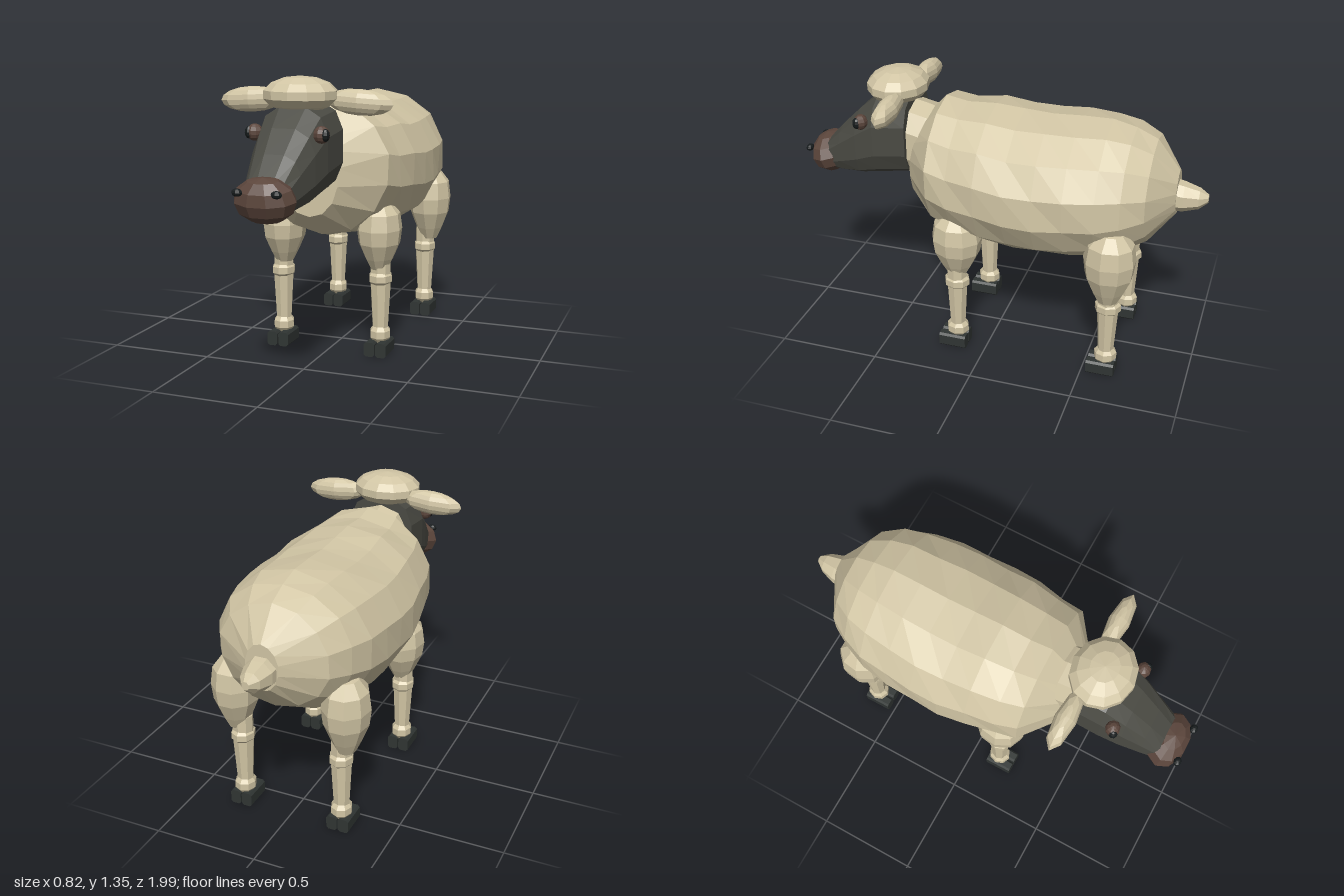
import * as THREE from 'three';

const mat = (color) => new THREE.MeshStandardMaterial({ color, flatShading: true, roughness: 1 });

// Closed loft through elliptical rings [z, bottomY, topY, halfWidth], ordered front to back
function loft(rings, sides, { power = 1, lump = 0 } = {}) {
  const squash = (v) => Math.sign(v) * Math.abs(v) ** power;
  const pos = [];
  rings.forEach(([z, y0, y1, w], i) => {
    for (let j = 0; j < sides; j++) {
      const a = ((j + 0.5) / sides) * Math.PI * 2;
      const k = 1 + lump * Math.sin(i * 2.3 + j * 1.7);
      pos.push(w * k * squash(Math.cos(a)), (y0 + y1) / 2 + ((y1 - y0) / 2) * k * squash(Math.sin(a)), z);
    }
  });
  const last = rings.length - 1;
  for (const [z, y0, y1] of [rings[0], rings[last]]) pos.push(0, (y0 + y1) / 2, z);
  const front = rings.length * sides;
  const index = [];
  for (let j = 0; j < sides; j++) {
    const n = (j + 1) % sides;
    for (let i = 0; i < last; i++) {
      const a = i * sides + j, b = i * sides + n, c = a + sides, d = b + sides;
      index.push(a, c, b, b, c, d);
    }
    index.push(front, j, n, front + 1, last * sides + n, last * sides + j);
  }
  const g = new THREE.BufferGeometry();
  g.setAttribute('position', new THREE.Float32BufferAttribute(pos, 3));
  g.setIndex(index);
  g.computeVertexNormals();
  return g;
}

export function createModel() {
  const model = new THREE.Group();
  const wool = mat(0xd2c6a5), face = mat(0x4b4b44), brown = mat(0x5c463c);
  const hoofMat = mat(0x303533), black = mat(0x171c1d);

  const add = (parent, name, geometry, material, x = 0, y = 0, z = 0) => {
    const m = new THREE.Mesh(geometry, material);
    m.name = name;
    m.position.set(x, y, z);
    parent.add(m);
    return m;
  };
  const blob = (rx, ry, rz, w = 10, h = 6) => new THREE.SphereGeometry(1, w, h).scale(rx, ry, rz);
  const lathe = (points, sides) =>
    new THREE.LatheGeometry(points.map(([r, y]) => new THREE.Vector2(r, y)), sides);

  // Woolly barrel
  add(model, 'body', loft([
    [0.42, 0.70, 1.08, 0.14],
    [0.27, 0.595, 1.235, 0.335],
    [0.16, 0.57, 1.22, 0.36],
    [0.02, 0.545, 1.23, 0.385],
    [-0.12, 0.53, 1.215, 0.40],
    [-0.26, 0.53, 1.215, 0.40],
    [-0.40, 0.54, 1.22, 0.39],
    [-0.54, 0.56, 1.22, 0.37],
    [-0.65, 0.60, 1.20, 0.33],
    [-0.75, 0.66, 1.15, 0.265],
    [-0.86, 0.79, 1.01, 0.08],
  ], 14, { lump: 0.012 }), wool);

  // Neck and tail
  add(model, 'neck', loft([
    [0.44, 0.82, 1.20, 0.15],
    [0.35, 0.80, 1.18, 0.15],
    [0.24, 0.78, 1.14, 0.15],
  ], 10, { power: 0.85 }), wool);
  add(model, 'tail', loft([
    [-0.80, 0.80, 0.97, 0.08],
    [-0.89, 0.81, 0.95, 0.073],
    [-0.96, 0.83, 0.93, 0.05],
    [-1.0, 0.865, 0.905, 0.018],
  ], 8), wool);

  // Head wedge and muzzle
  add(model, 'head', loft([
    [0.90, 0.79, 0.93, 0.10],
    [0.80, 0.78, 1.04, 0.125],
    [0.70, 0.785, 1.14, 0.15],
    [0.60, 0.805, 1.225, 0.168],
    [0.43, 0.835, 1.24, 0.172],
  ], 12, { power: 0.75 }), face);
  add(model, 'muzzle', blob(0.142, 0.1, 0.095, 10, 6), brown, 0, 0.86, 0.895).rotation.x = 0.2;

  // Wool cap
  add(model, 'woolCap', blob(0.172, 0.082, 0.15, 12, 7), wool, 0, 1.267, 0.515);

  for (const s of [1, -1]) {
    const side = s > 0 ? 'left' : 'right';

    // Ear, eye and nostril
    const ear = add(model, side + 'Ear', blob(0.155, 0.058, 0.05, 8, 8), wool, s * 0.257, 1.236, 0.465);
    ear.rotation.z = -s * 0.06;
    add(model, side + 'Eye', blob(0.038, 0.038, 0.034, 9, 7), brown, s * 0.155, 1.11, 0.655);
    add(model, side + 'Pupil', blob(0.02, 0.028, 0.022, 8, 6), black, s * 0.177, 1.11, 0.666);
    add(model, side + 'Nostril', blob(0.025, 0.017, 0.018, 8, 6), black, s * 0.088, 0.9, 0.975);

    // Legs: thigh, knee, shin, ankle and cloven hoof
    for (const [end, z, thighX, top, rx] of [['Front', 0.145, 0.245, 0.75, 0.108], ['Back', -0.61, 0.277, 0.80, 0.112]]) {
      const leg = new THREE.Group();
      leg.name = side + end + 'Leg';
      leg.position.set(s * 0.252, 0, z);
      model.add(leg);

      const h = top - 0.41;
      const thigh = lathe([[0, 0], [0.38, 0.03], [0.62, 0.18], [0.92, 0.4], [1, 0.6], [0.9, 0.82], [0.5, 0.97], [0, 1]], 9);
      thigh.scale(rx, h, 0.125);
      add(leg, 'thigh', thigh, wool, s * (thighX - 0.252), 0.41, 0);
      add(leg, 'upperShin', new THREE.CylinderGeometry(0.05, 0.05, 0.1, 8), wool, 0, 0.43, 0);
      add(leg, 'knee', blob(0.059, 0.05, 0.066, 8, 5), wool, 0, 0.375, 0);
      add(leg, 'shin', new THREE.CylinderGeometry(0.052, 0.037, 0.27, 8), wool, 0, 0.235, 0);
      add(leg, 'ankle', blob(0.053, 0.054, 0.058, 8, 5), wool, 0, 0.1, 0);
      for (const t of [1, -1]) {
        // Chamfered block with its long side along z
        const c = 0.01, w = 0.026, y = 0.035;
        const shape = new THREE.Shape([
          [-w + c, -y], [w - c, -y], [w, -y + c], [w, y - c], [w - c, y], [-w + c, y], [-w, y - c], [-w, -y + c],
        ].map(([px, py]) => new THREE.Vector2(px, py)));
        const toe = new THREE.ExtrudeGeometry(shape, { depth: 0.136, bevelEnabled: false });
        add(leg, 'hoof', toe, hoofMat, t * 0.029, 0.037, -0.052);
      }
    }
  }
  return model;
}
